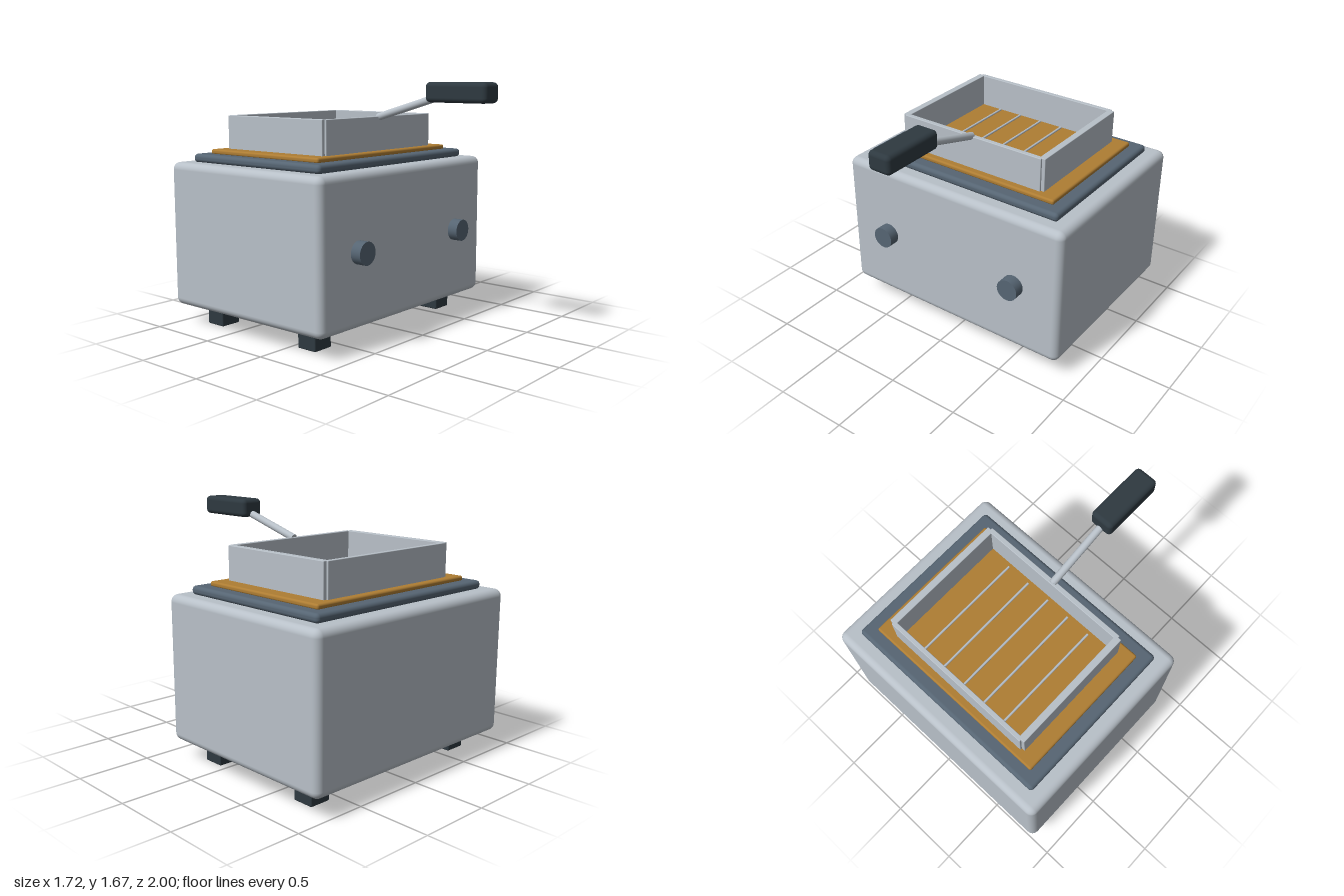
import * as THREE from 'three';
import { RoundedBoxGeometry } from 'three/addons/geometries/RoundedBoxGeometry.js';

const steel = new THREE.MeshStandardMaterial({ color: 0xb8c0c8 });
const slate = new THREE.MeshStandardMaterial({ color: 0x566573 });
const amber = new THREE.MeshStandardMaterial({ color: 0xae7d33 });
const dark = new THREE.MeshStandardMaterial({ color: 0x2e3940 });

export function createModel() {
  const model = new THREE.Group();
  model.name = 'deepFryer';

  const add = (name, geometry, material, parent = model) => {
    const mesh = new THREE.Mesh(geometry, material);
    mesh.name = name;
    parent.add(mesh);
    return mesh;
  };

  // Rounded box given by its extents on each axis
  const box = (name, [x0, x1], [y0, y1], [z0, z1], radius, material, parent) => {
    const geometry = new RoundedBoxGeometry(x1 - x0, y1 - y0, z1 - z0, 4, radius);
    const mesh = add(name, geometry, material, parent);
    mesh.position.set((x0 + x1) / 2, (y0 + y1) / 2, (z0 + z1) / 2);
    return mesh;
  };

  // Round bar between two points
  const bar = (name, from, to, radius, material, parent) => {
    const a = new THREE.Vector3(...from), b = new THREE.Vector3(...to);
    const dir = b.clone().sub(a);
    const mesh = add(name, new THREE.CylinderGeometry(radius, radius, dir.length(), 24), material, parent);
    mesh.position.copy(a).add(b).multiplyScalar(0.5);
    mesh.quaternion.setFromUnitVectors(new THREE.Vector3(0, 1, 0), dir.normalize());
    return mesh;
  };

  // Housing, top rim and oil surface
  box('housing', [-0.862, 0.862], [0.135, 1.125], [-1, 0.38], 0.05, steel);
  box('rim', [-0.755, 0.755], [1.122, 1.18], [-0.89, 0.275], 0.025, slate);
  box('oil', [-0.67, 0.67], [1.175, 1.21], [-0.805, 0.187], 0.014, amber);

  // Feet and control knobs
  for (const s of [-1, 1]) {
    for (const z of [0.127, -0.738]) {
      const foot = box('foot', [-0.075, 0.075], [0, 0.15], [-0.075, 0.075], 0.008, dark);
      foot.position.x = s * 0.65;
      foot.position.z = z;
    }
    bar('knob', [s * 0.52, 0.63, 0.385], [s * 0.52, 0.63, 0.458], 0.075, slate);
  }

  // Basket walls
  const basket = new THREE.Group();
  basket.name = 'basket';
  model.add(basket);
  const height = [1.2, 1.437];
  box('basketFront', [-0.54, 0.54], height, [0.105, 0.138], 0.004, steel, basket);
  box('basketBack', [-0.54, 0.54], height, [-0.755, -0.725], 0.004, steel, basket);
  box('basketLeft', [0.518, 0.564], height, [-0.742, 0.125], 0.004, steel, basket);
  box('basketRight', [-0.564, -0.518], height, [-0.742, 0.125], 0.004, steel, basket);

  // Wires across the basket floor
  for (let i = -2; i <= 2; i++) {
    bar('basketWire', [i * 0.173, 1.22, -0.7], [i * 0.173, 1.22, 0.078], 0.008, steel, basket);
  }

  // Sloping handle and its grip
  bar('handleRod', [0, 1.432, 0.12], [0, 1.572, 0.6], 0.025, steel, basket);
  box('handleGrip', [-0.082, 0.082], [1.54, 1.667], [0.55, 1], 0.03, dark, basket);

  return model;
}
